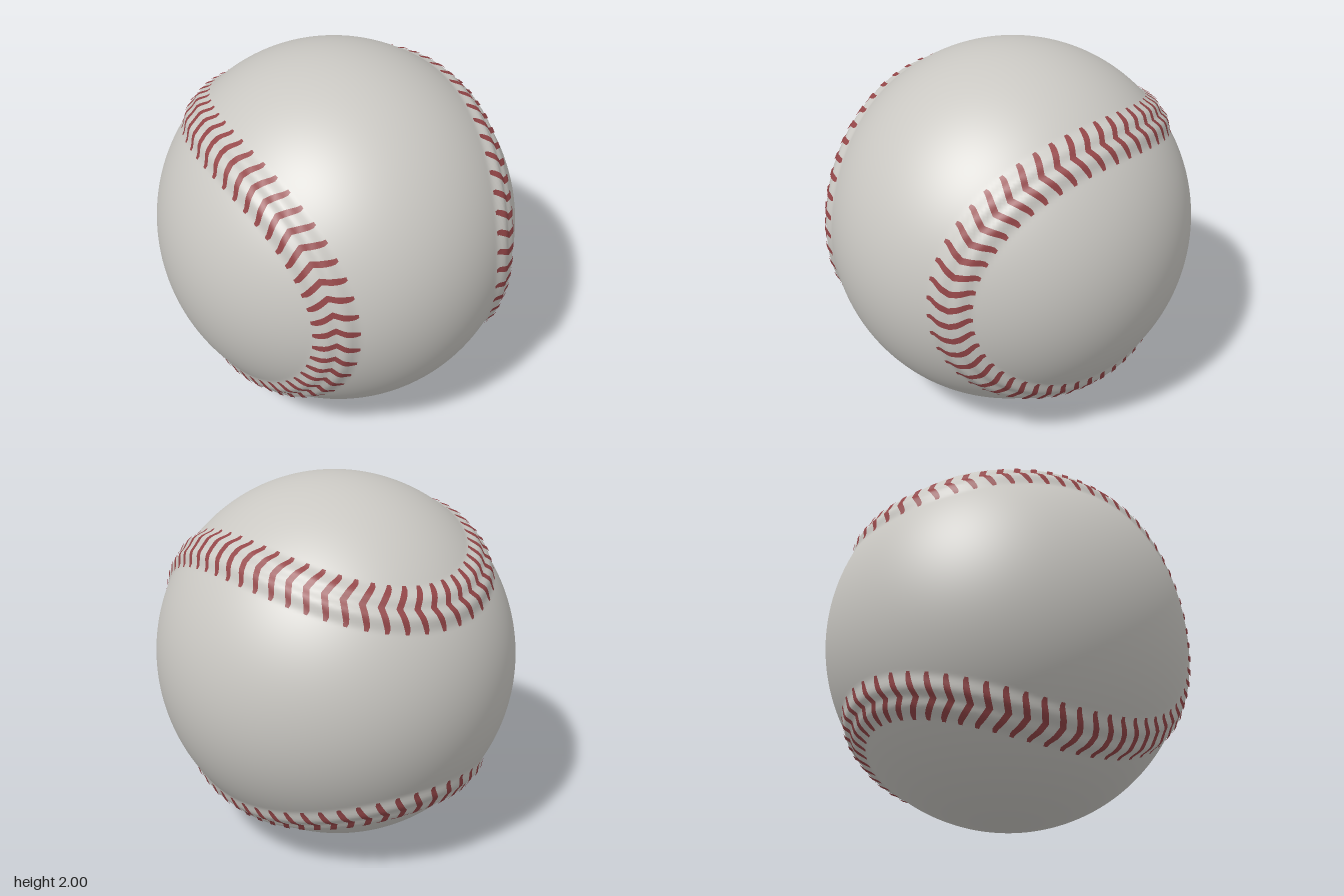
import * as THREE from 'three';
import { mergeVertices } from 'three/addons/utils/BufferGeometryUtils.js';

const A = 0.765, B = 0.235; // seam curve on the unit sphere
const WIDTH_SCALE = 0.975; // the ball is slightly narrow in x
const STITCHES = 108;

class SeamCurve extends THREE.Curve {
  getPoint(u, target = new THREE.Vector3()) {
    const t = u * Math.PI * 2;
    return target.set(
      A * Math.cos(t) - B * Math.cos(3 * t),
      A * Math.sin(t) + B * Math.sin(3 * t),
      2 * Math.sqrt(A * B) * Math.cos(2 * t));
  }
}

const seam = new SeamCurve();
seam.arcLengthDivisions = 1000;

// Radius of the leather: a raised welt with a fine groove along the seam
function makeRadius() {
  const samples = seam.getPoints(1200);
  return (dir) => {
    let best = Infinity;
    for (const p of samples) {
      const dx = p.x - dir.x, dy = p.y - dir.y, dz = p.z - dir.z;
      const d = dx * dx + dy * dy + dz * dz;
      if (d < best) best = d;
    }
    const d = Math.sqrt(best);
    const welt = 0.024 * (1 - THREE.MathUtils.smoothstep(d, 0.04, 0.12));
    return 1 + welt - 0.009 * Math.exp(-((d / 0.028) ** 2));
  };
}

function leatherGeometry(radius) {
  const sphere = new THREE.SphereGeometry(1, 288, 192);
  sphere.deleteAttribute('uv');
  sphere.deleteAttribute('normal');
  const geo = mergeVertices(sphere, 1e-5);
  const pos = geo.attributes.position;
  const v = new THREE.Vector3();
  for (let i = 0; i < pos.count; i++) {
    v.fromBufferAttribute(pos, i).normalize();
    v.multiplyScalar(radius(v));
    pos.setXYZ(i, v.x, v.y, v.z);
  }
  geo.computeVertexNormals();
  return geo;
}

// Thin chevron ribbons laid across the seam, all pointing the same way round
function stitchGeometry(radius) {
  const positions = [], index = [];
  const steps = 12, halfSpan = 0.122, apex = 0.04;
  for (let k = 0; k < STITCHES; k++) {
    const u = (k + 0.5) / STITCHES;
    const n = seam.getPointAt(u).normalize();
    const along = seam.getTangentAt(u);
    const across = new THREE.Vector3().crossVectors(n, along);
    for (let i = 0; i <= steps; i++) {
      const s = (i / steps) * 2 - 1;
      const bend = apex * (Math.min(1, Math.abs(s) * 1.25) - 0.6);
      const half = 0.0175 * (1 - 0.45 * Math.abs(s) ** 5);
      for (const side of [-1, 1]) {
        const p = n.clone()
          .addScaledVector(across, s * halfSpan)
          .addScaledVector(along, bend + side * half)
          .normalize();
        p.multiplyScalar(radius(p) + 0.006);
        positions.push(p.x, p.y, p.z);
      }
      if (i < steps) {
        const a = (k * (steps + 1) + i) * 2;
        index.push(a, a + 1, a + 2, a + 1, a + 3, a + 2);
      }
    }
  }
  const geo = new THREE.BufferGeometry();
  geo.setAttribute('position', new THREE.Float32BufferAttribute(positions, 3));
  geo.setIndex(index);
  geo.computeVertexNormals();
  return geo;
}

export function createModel() {
  const leather = new THREE.MeshStandardMaterial({ color: 0xcac8c3 });
  leather.name = 'whiteLeather';
  const thread = new THREE.MeshStandardMaterial({ color: 0x944648 });
  thread.name = 'redThread';

  const radius = makeRadius();
  const group = new THREE.Group();
  group.name = 'baseball';

  const add = (name, geometry, material) => {
    geometry.scale(WIDTH_SCALE, 1, 1);
    geometry.translate(0, 1, 0);
    const mesh = new THREE.Mesh(geometry, material);
    mesh.name = name;
    group.add(mesh);
  };
  add('leatherCover', leatherGeometry(radius), leather);
  add('seamStitches', stitchGeometry(radius), thread);
  return group;
}
